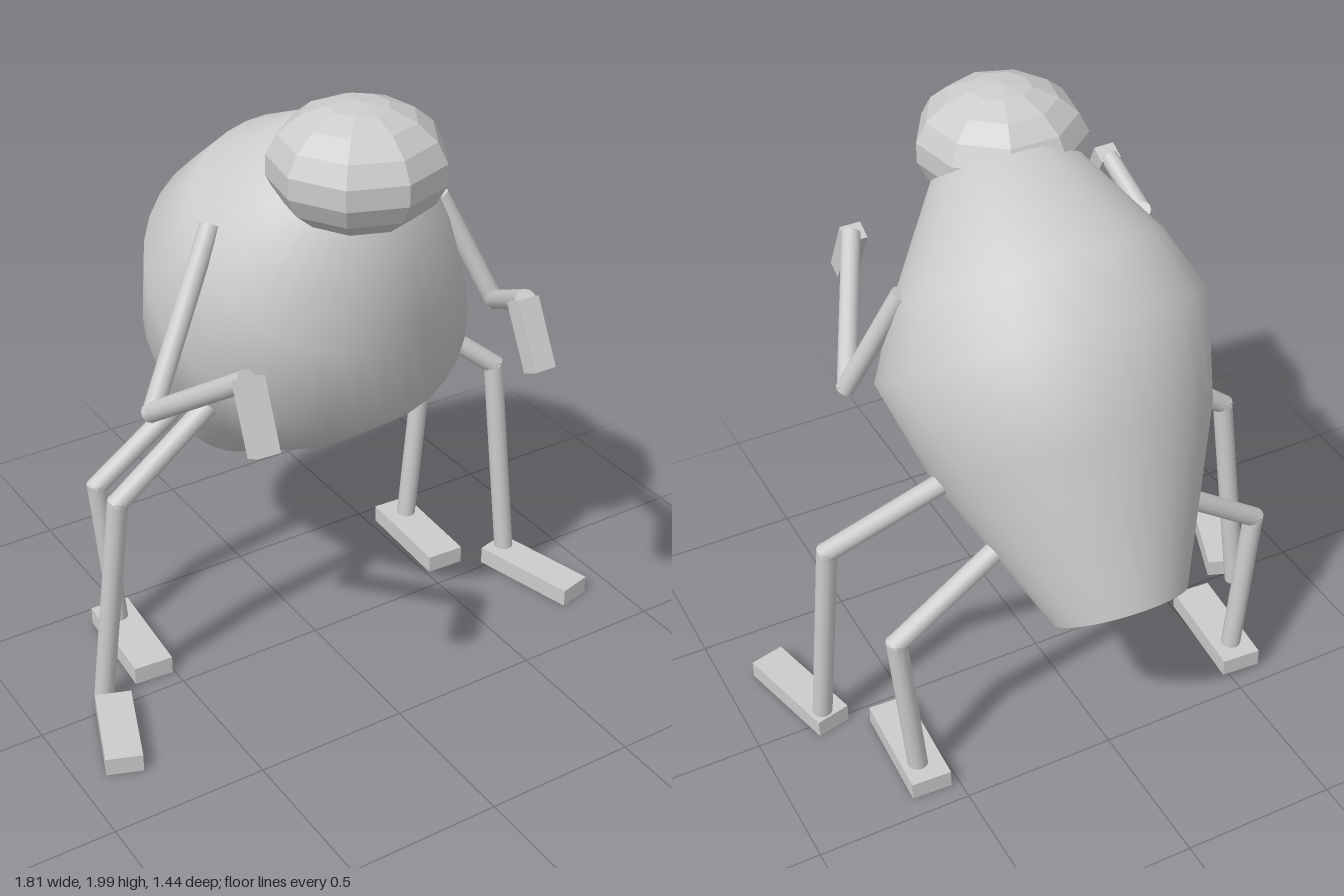
import * as THREE from 'three';

const smooth = new THREE.MeshStandardMaterial({ color: 0xcccccc });
const flat = new THREE.MeshStandardMaterial({ color: 0xcccccc, flatShading: true });

function add(parent, name, geometry, material) {
  const mesh = new THREE.Mesh(geometry, material);
  mesh.name = name;
  parent.add(mesh);
  return mesh;
}

// Round rod between two points
function rod(parent, name, a, b, radius) {
  const from = new THREE.Vector3(...a), to = new THREE.Vector3(...b);
  const dir = to.clone().sub(from);
  const mesh = add(parent, name, new THREE.CylinderGeometry(radius, radius, dir.length() + 0.025, 14), smooth);
  mesh.position.copy(from).add(to).multiplyScalar(0.5);
  mesh.quaternion.setFromUnitVectors(new THREE.Vector3(0, 1, 0), dir.normalize());
}

// Two rods joined at a bend
function limb(name, upper, lower, a, b, c, radius) {
  const group = new THREE.Group();
  group.name = name;
  rod(group, upper, a, b, radius);
  rod(group, lower, b, c, radius);
  return group;
}

// Leg with a slab foot; foot = [x, z, width, length, turn]
function leg(name, hip, knee, ankle, foot) {
  const group = limb(name, 'thigh', 'shin', hip, knee, ankle, 0.032);
  const [x, z, width, length, turn] = foot;
  const slab = add(group, 'foot', new THREE.BoxGeometry(width, 0.06, length), flat);
  slab.position.set(x, 0.04, z);
  slab.rotation.y = turn;
  return group;
}

// Arm with a drooping block hand
function arm(name, shoulder, elbow, wrist, hand, roll) {
  const group = limb(name, 'upperArm', 'forearm', shoulder, elbow, wrist, 0.03);
  const block = add(group, 'hand', new THREE.BoxGeometry(0.07, 0.21, 0.06), flat);
  block.position.set(...hand);
  block.rotation.set(-0.48, 0, roll);
  return group;
}

export function createModel() {
  const model = new THREE.Group();
  model.name = 'creature';

  // Pear-shaped body leaning forward: [height along axis, radius, forward shift]
  const rings = [[0, 0.21, 0], [0.52, 0.435, 0.005], [0.84, 0.515, 0.015],
    [1.05, 0.415, -0.03], [1.365, 0.21, -0.05], [1.38, 0, -0.05]];
  const shell = new THREE.LatheGeometry(rings.map(([t, r]) => new THREE.Vector2(r, t)), 36);
  const pos = shell.attributes.position;
  for (let i = 0; i < pos.count; i++) pos.setZ(i, pos.getZ(i) + rings[i % rings.length][2]);
  const body = new THREE.Group();
  body.name = 'body';
  body.position.set(0.005, 0.645, -0.55);
  body.rotation.x = 0.63;
  add(body, 'shell', shell, smooth);
  add(body, 'base', new THREE.CircleGeometry(0.21, 36).rotateX(Math.PI / 2), flat);
  model.add(body);

  // Faceted head
  const head = add(model, 'head', new THREE.SphereGeometry(1, 9, 9).rotateY(Math.PI / 2), flat);
  head.scale.set(0.262, 0.185, 0.26);
  head.position.set(-0.028, 1.815, 0.267);

  // Legs
  model.add(
    leg('leftFrontLeg', [0.36, 1.08, -0.24], [0.74, 0.78, -0.065], [0.78, 0.04, 0], [0.80, 0.14, 0.115, 0.365, 0.245]),
    leg('rightFrontLeg', [-0.34, 1.06, 0.02], [-0.70, 0.775, 0.01], [-0.757, 0.04, -0.05], [-0.805, 0.145, 0.115, 0.31, -0.36]),
    leg('leftRearLeg', [0.27, 0.87, -0.35], [0.65, 0.605, -0.35], [0.6, 0.04, -0.35], [0.585, -0.25, 0.13, 0.365, -0.045]),
    leg('rightRearLeg', [-0.24, 0.85, -0.35], [-0.6, 0.6, -0.35], [-0.55, 0.04, -0.35], [-0.56, -0.245, 0.13, 0.365, -0.07]),
  );

  // Arms
  model.add(
    arm('leftArm', [0.41, 1.52, 0.06], [0.55, 1.18, 0.165], [0.345, 1.42, 0.57], [0.333, 1.335, 0.625], 0),
    arm('rightArm', [-0.37, 1.6, 0.02], [-0.65, 1.16, 0.17], [-0.58, 1.44, 0.575], [-0.583, 1.365, 0.64], -0.05),
  );

  return model;
}
